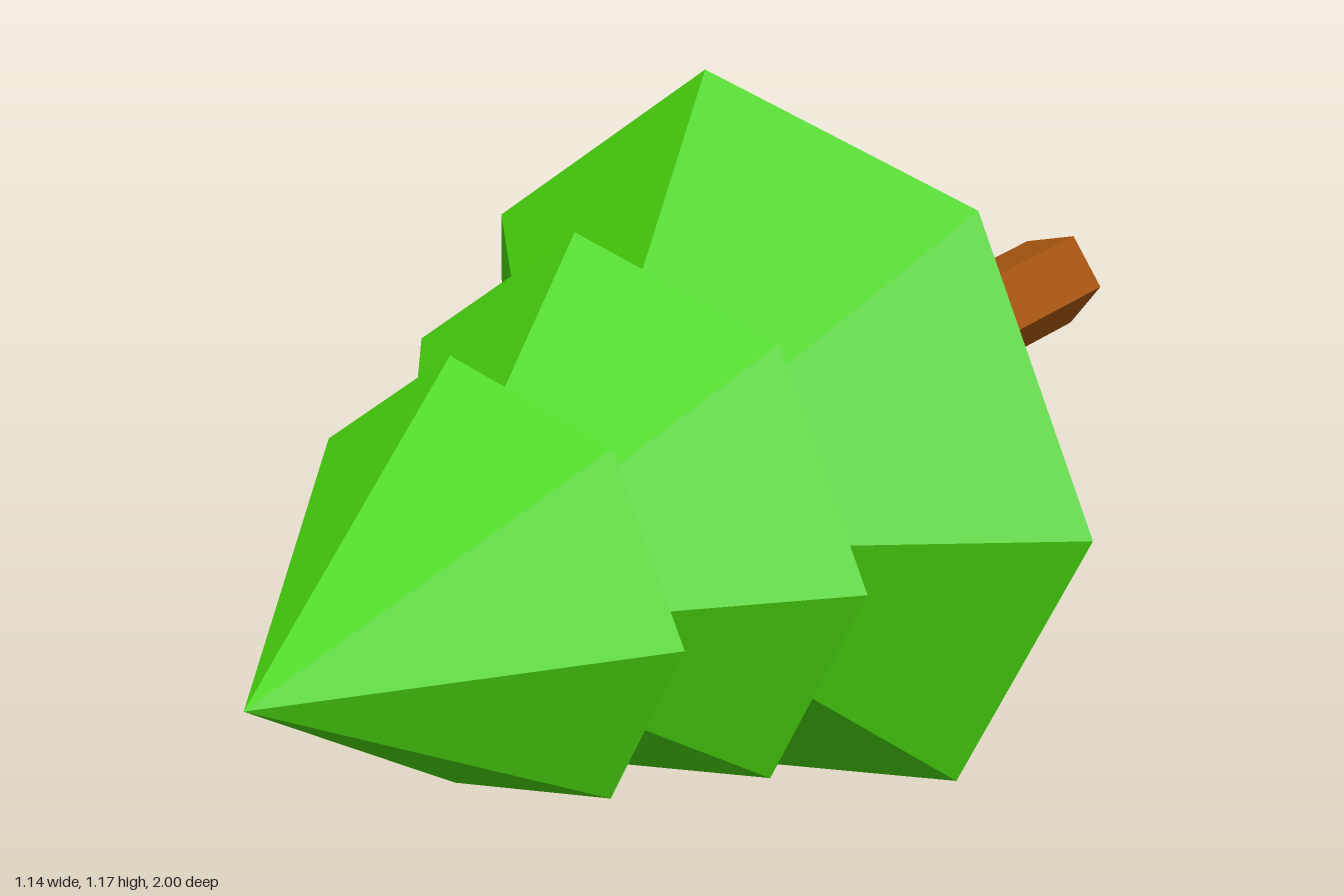
import * as THREE from 'three';

const leafGreen = new THREE.MeshStandardMaterial({ name: 'leafGreen', color: 0x49d60f, flatShading: true });
const barkBrown = new THREE.MeshStandardMaterial({ name: 'barkBrown', color: 0xaa5710, flatShading: true });

// One seven-sided cone of foliage, base at the origin, tip towards +z
function foliageTier(name, radius, height, y, z) {
  const geometry = new THREE.ConeGeometry(radius, height, 7, 1, false, Math.PI / 2)
    .translate(0, height / 2, 0)
    .rotateX(Math.PI / 2);
  const tier = new THREE.Mesh(geometry, leafGreen);
  tier.name = name;
  tier.position.set(-0.03, y, z);
  tier.rotation.x = -0.02; // slight lean
  return tier;
}

export function createModel() {
  const tree = new THREE.Group();
  tree.name = 'lyingTree';

  // Foliage, from the widest tier to the tip
  tree.add(
    foliageTier('lowerFoliage', 0.6, 0.53, 0.589, -0.2),
    foliageTier('middleFoliage', 0.445, 0.53, 0.591, 0.16),
    foliageTier('upperFoliage', 0.35, 0.53, 0.593, 0.47),
  );

  // Five-sided trunk, reaching a little way into the foliage
  const length = 0.85;
  const trunk = new THREE.Mesh(
    new THREE.CylinderGeometry(0.082, 0.082, length, 5, 1, false, Math.PI / 2).rotateX(Math.PI / 2),
    barkBrown,
  );
  trunk.name = 'trunk';
  trunk.position.set(-0.012, 0.63, -1 + length / 2);
  tree.add(trunk);

  return tree;
}
